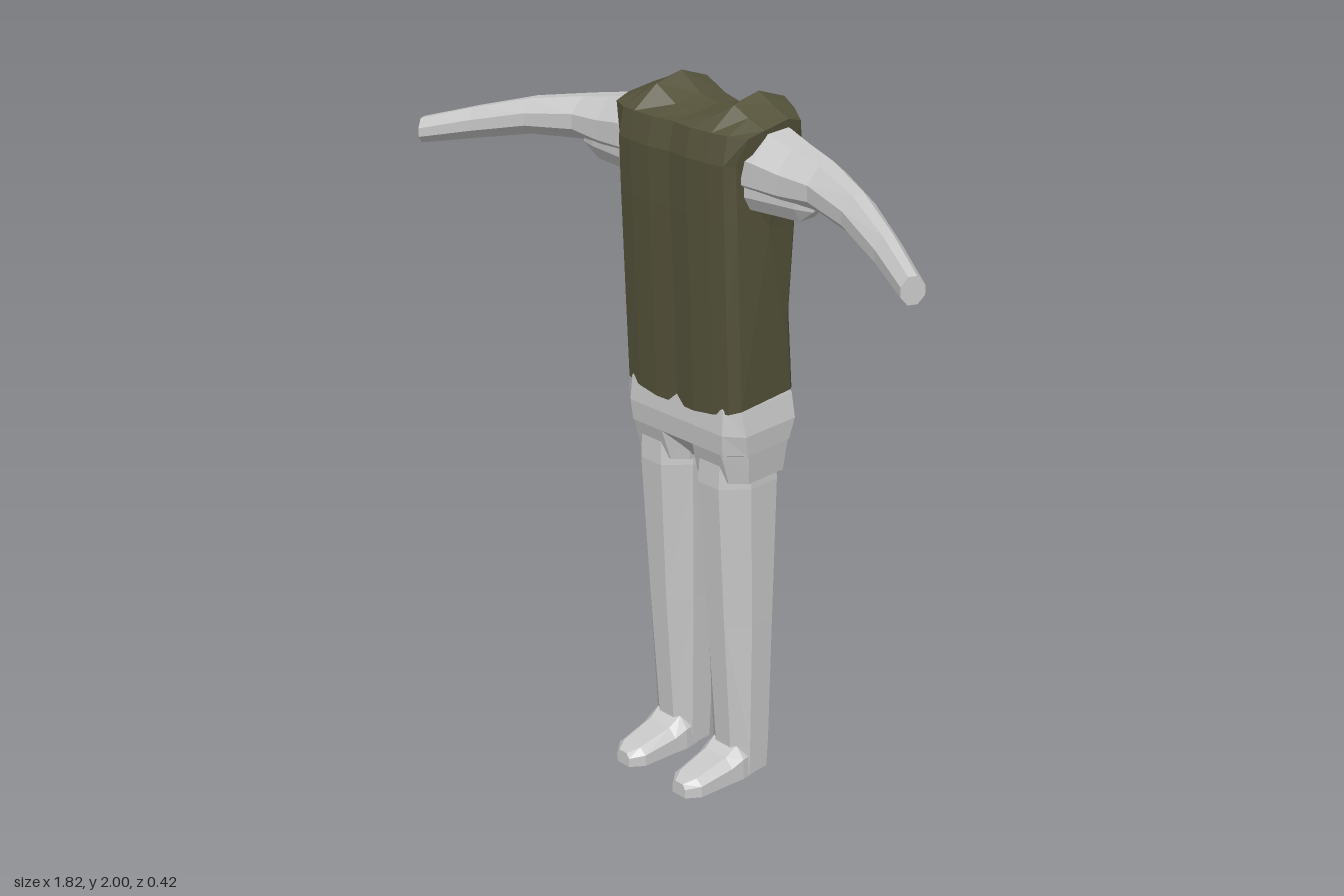
import * as THREE from 'three';

const clothGrey = new THREE.MeshStandardMaterial({ name: 'light grey', color: 0xc8c8c8, flatShading: true });
const vestOlive = new THREE.MeshStandardMaterial({ name: 'olive', color: 0x54523a, flatShading: true });

// Skin a list of equal-length point loops, close both ends, and turn faces outward.
function loft(name, loops, material) {
  const n = loops[0].length;
  const points = loops.flat().map((p) => new THREE.Vector3(...p));
  const faces = [];
  for (let r = 0; r < loops.length - 1; r++) {
    for (let i = 0; i < n; i++) {
      const a = r * n + i, b = r * n + (i + 1) % n;
      faces.push([a, b, b + n], [a, b + n, a + n]);
    }
  }
  const last = (loops.length - 1) * n;
  for (const [start, flip] of [[0, true], [last, false]]) {
    const centre = new THREE.Vector3();
    for (let i = 0; i < n; i++) centre.addScaledVector(points[start + i], 1 / n);
    const c = points.push(centre) - 1;
    for (let i = 0; i < n; i++) {
      const a = start + i, b = start + (i + 1) % n;
      faces.push(flip ? [c, b, a] : [c, a, b]);
    }
  }
  let volume = 0;
  const cross = new THREE.Vector3();
  for (const [a, b, c] of faces) volume += cross.crossVectors(points[b], points[c]).dot(points[a]);
  if (volume < 0) faces.forEach((f) => f.reverse());
  const geometry = new THREE.BufferGeometry().setFromPoints(points);
  geometry.setIndex(faces.flat());
  geometry.computeVertexNormals();
  const mesh = new THREE.Mesh(geometry, material);
  mesh.name = name;
  return mesh;
}

// Horizontal eight-sided loop between two x and two z limits; cx, cz are the corner cuts.
function octagon(y, x0, x1, z0, z1, cx, cz) {
  return [
    [x0 + cx, y, z1], [x1 - cx, y, z1], [x1, y, z1 - cz], [x1, y, z0 + cz],
    [x1 - cx, y, z0], [x0 + cx, y, z0], [x0, y, z0 + cz], [x0, y, z1 - cz],
  ];
}

const mirror = (loops, s) => loops.map((l) => l.map(([x, y, z]) => [s * x, y, z]));

// Vest: side profiles placed across the width, with raised shoulders and a dipped neck.
function makeVest() {
  // x, top height, hem height, front inset, back inset
  const stations = [
    [0, 1.94, 1.14, 0.008, 0.02], [0.07, 1.952, 1.143, 0, 0.005], [0.14, 2.0, 1.152, 0.004, 0],
    [0.19, 1.972, 1.163, 0.012, 0.015], [0.215, 1.948, 1.172, 0.035, 0.045],
  ];
  const profile = ([x, top, hem, f, b]) => {
    const end = Math.abs(x) > 0.2;
    const s = Math.sign(x);
    const flare = (w) => (end ? s * w : x);
    const rise = top - 1.94;
    return [
      [x, hem, 0.075 - f], [x, 1.4, 0.085 - f], [x, 1.7, 0.097 - f], [flare(0.212), 1.85, 0.102 - f],
      [flare(0.24), 1.925, 0.085 - f], [flare(0.248), 1.93 + rise * 0.85, 0.0], [flare(0.245), top, -0.09],
      [flare(0.24), 1.928 + rise * 0.65, -0.185 + b], [flare(0.222), 1.83, -0.213 + b],
      [x, 1.65, -0.192 + b], [x, 1.4, -0.175 + b], [x, hem + 0.01, -0.193 + b],
    ];
  };
  const left = stations.slice(1).reverse().map(([x, ...rest]) => [-x, ...rest]);
  return loft('vest', [...left, ...stations].map(profile), vestOlive);
}

// Arm: eight-sided loops curving forward and down from the shoulder to the cuff.
function makeArm(s) {
  // x at front, x at back, low y, high y, front z, back z
  const stations = [
    [0.17, 0.17, 1.74, 1.935, 0.05, -0.165], [0.25, 0.25, 1.745, 1.925, 0.048, -0.165],
    [0.33, 0.33, 1.75, 1.905, 0.043, -0.14], [0.43, 0.43, 1.768, 1.887, 0.04, -0.105],
    [0.58, 0.6, 1.76, 1.86, 0.08, -0.02], [0.74, 0.76, 1.728, 1.815, 0.142, 0.067],
    [0.88, 0.908, 1.7, 1.77, 0.21, 0.155],
  ];
  const section = [[0.3, 0], [0.7, 0], [1, 0.3], [1, 0.65], [0.72, 1], [0.35, 1], [0, 0.65], [0, 0.3]];
  const loops = stations.map(([xf, xb, low, high, zf, zb]) => section.map(([u, v]) => [
    THREE.MathUtils.lerp(xb, xf, u), THREE.MathUtils.lerp(low, high, v), THREE.MathUtils.lerp(zb, zf, u),
  ]));
  return loft('arm', mirror(loops, s), clothGrey);
}

// Loose cloth gusset below the armpit.
function makeGusset(s) {
  const loops = [[0.18, 0.045, -0.12], [0.37, 0.02, -0.075], [0.42, 0.005, -0.06]].map(([x, f, b], i) => {
    const low = i === 2 ? 1.77 : 1.728;
    return [[x, low, f - 0.02], [x, 1.765, f], [x, 1.83, f], [x, 1.83, b], [x, 1.765, b], [x, low, b + 0.02]];
  });
  return loft('armpitGusset', mirror(loops, s), clothGrey);
}

// Leg: tapered tube from inside the hip to the heel.
function makeLeg(s) {
  const loops = [
    octagon(1.02, 0.02, 0.205, -0.165, 0.055, 0.055, 0.06),
    octagon(0.93, 0.012, 0.21, -0.17, 0.06, 0.06, 0.065),
    octagon(0.5, 0.028, 0.202, -0.158, 0.032, 0.055, 0.055),
    octagon(0.1, 0.042, 0.19, -0.142, 0.002, 0.045, 0.035),
    octagon(0.005, 0.045, 0.187, -0.14, 0, 0.045, 0.035),
  ];
  return loft('leg', mirror(loops, s), clothGrey);
}

// Foot: bevelled wedge narrowing to the toe.
function makeFoot(s) {
  const loops = [[-0.06, 0.068, 0.1], [-0.01, 0.072, 0.1], [0.03, 0.066, 0.075], [0.14, 0.054, 0.053], [0.178, 0.025, 0.042]]
    .map(([z, w, top]) => [
      [0.115 - w, 0, z], [0.115 + w, 0, z], [0.115 + w, top * 0.65, z],
      [0.115 + w * 0.6, top, z], [0.115 - w * 0.6, top, z], [0.115 - w, top * 0.65, z],
    ]);
  return loft('foot', mirror(loops, s), clothGrey);
}

// Hips: one band under the vest hem, then a short sleeve around each leg.
function makeHips() {
  return loft('hips', [
    octagon(1.22, -0.2, 0.2, -0.16, 0.06, 0.05, 0.03),
    octagon(1.17, -0.213, 0.213, -0.185, 0.068, 0.04, 0.03),
    octagon(1.1, -0.226, 0.226, -0.195, 0.074, 0.05, 0.04),
    octagon(1.04, -0.222, 0.222, -0.182, 0.068, 0.05, 0.045),
    octagon(1.0, -0.18, 0.18, -0.13, 0.03, 0.05, 0.04),
    octagon(0.965, -0.04, 0.04, -0.09, 0, 0.01, 0.02),
  ], clothGrey);
}

function makeHipSleeve(s) {
  const loops = [
    octagon(1.08, 0.005, 0.223, -0.188, 0.07, 0.05, 0.045),
    octagon(1.04, 0.004, 0.222, -0.182, 0.068, 0.055, 0.05),
    octagon(0.95, 0.012, 0.211, -0.162, 0.042, 0.04, 0.035),
  ];
  return loft('hipSleeve', mirror(loops, s), clothGrey);
}

export function createModel() {
  const model = new THREE.Group();
  model.name = 'clothedBody';
  model.add(makeVest(), makeHips());
  for (const [side, s] of [['left', 1], ['right', -1]]) {
    for (const make of [makeArm, makeGusset, makeLeg, makeFoot, makeHipSleeve]) {
      const part = make(s);
      part.name = side + part.name[0].toUpperCase() + part.name.slice(1);
      model.add(part);
    }
  }
  return model;
}
